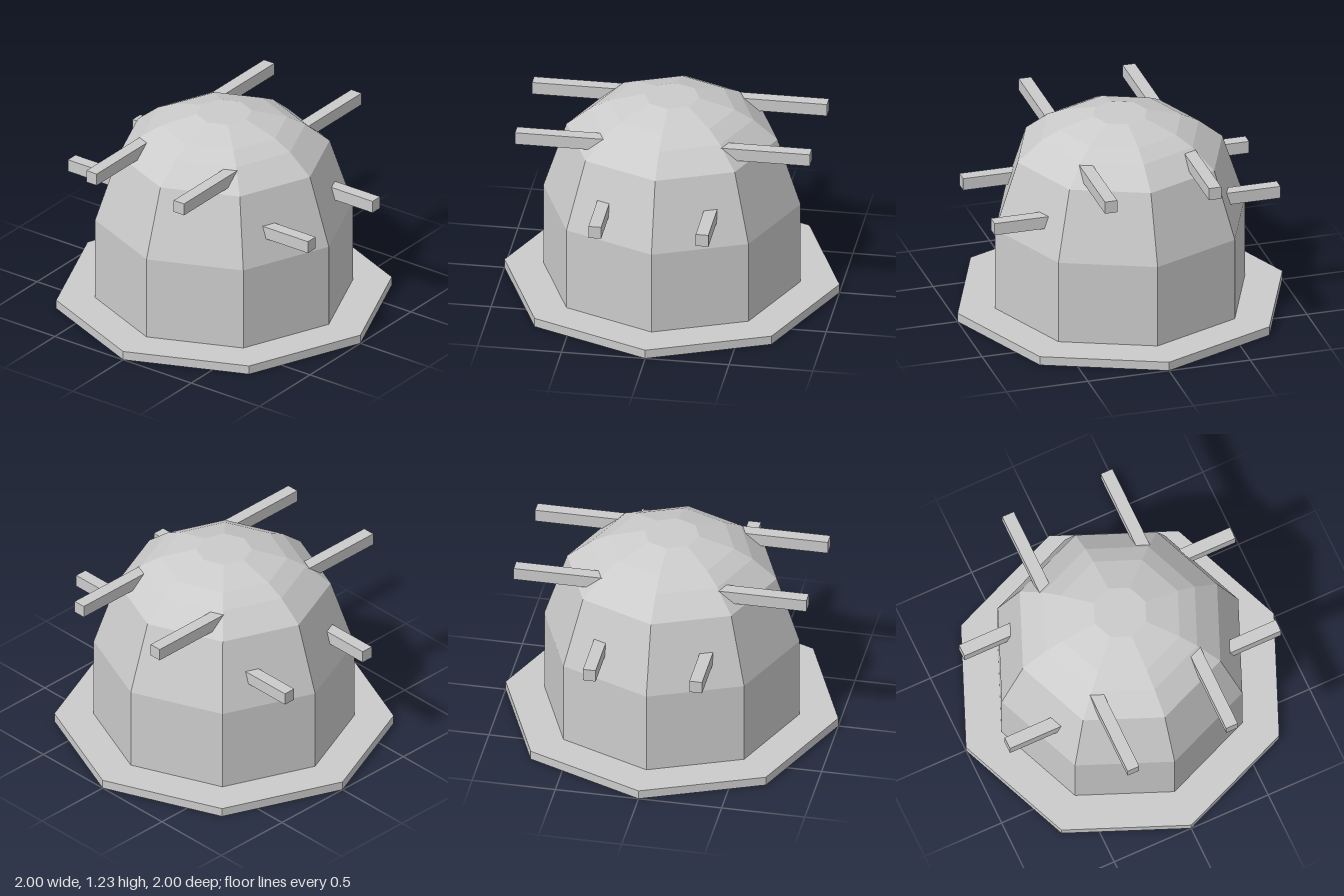
import * as THREE from 'three';

export function createModel() {
  const model = new THREE.Group();
  const material = new THREE.MeshStandardMaterial({ color: 0xcccccc, flatShading: true });

  const add = (geometry, name, x = 0, y = 0, z = 0) => {
    const mesh = new THREE.Mesh(geometry, material);
    mesh.name = name;
    mesh.position.set(x, y, z);
    model.add(mesh);
  };

  // Octagonal ground slab
  const slabHeight = 0.055;
  add(new THREE.CylinderGeometry(1, 1, slabHeight, 8), 'baseSlab', 0, slabHeight / 2, 0);

  // Eight-sided walls rising into a faceted dome
  const profile = [
    [0.768, slabHeight], [0.768, 0.57], [0.63, 0.99], [0.485, 1.11],
    [0.375, 1.167], [0.165, 1.227], [0, 1.227],
  ].map(([r, y]) => new THREE.Vector2(r, y));
  add(new THREE.LatheGeometry(profile, 8), 'domeHut');

  // Square beams poking out of the shell: upper pairs front and back, lower pairs left and right
  const thick = 0.076, outer = 0.88, offset = 0.32;
  const upperInner = 0.31, lowerInner = 0.46;
  for (const out of [-1, 1]) {
    for (const side of [-1, 1]) {
      add(new THREE.BoxGeometry(thick, thick, outer - upperInner),
        out > 0 ? 'frontBeam' : 'backBeam',
        side * offset, 1.058, out * (outer + upperInner) / 2);
      add(new THREE.BoxGeometry(outer - lowerInner, thick, thick),
        out > 0 ? 'leftBeam' : 'rightBeam',
        out * (outer + lowerInner) / 2, 0.75, side * offset);
    }
  }
  return model;
}
